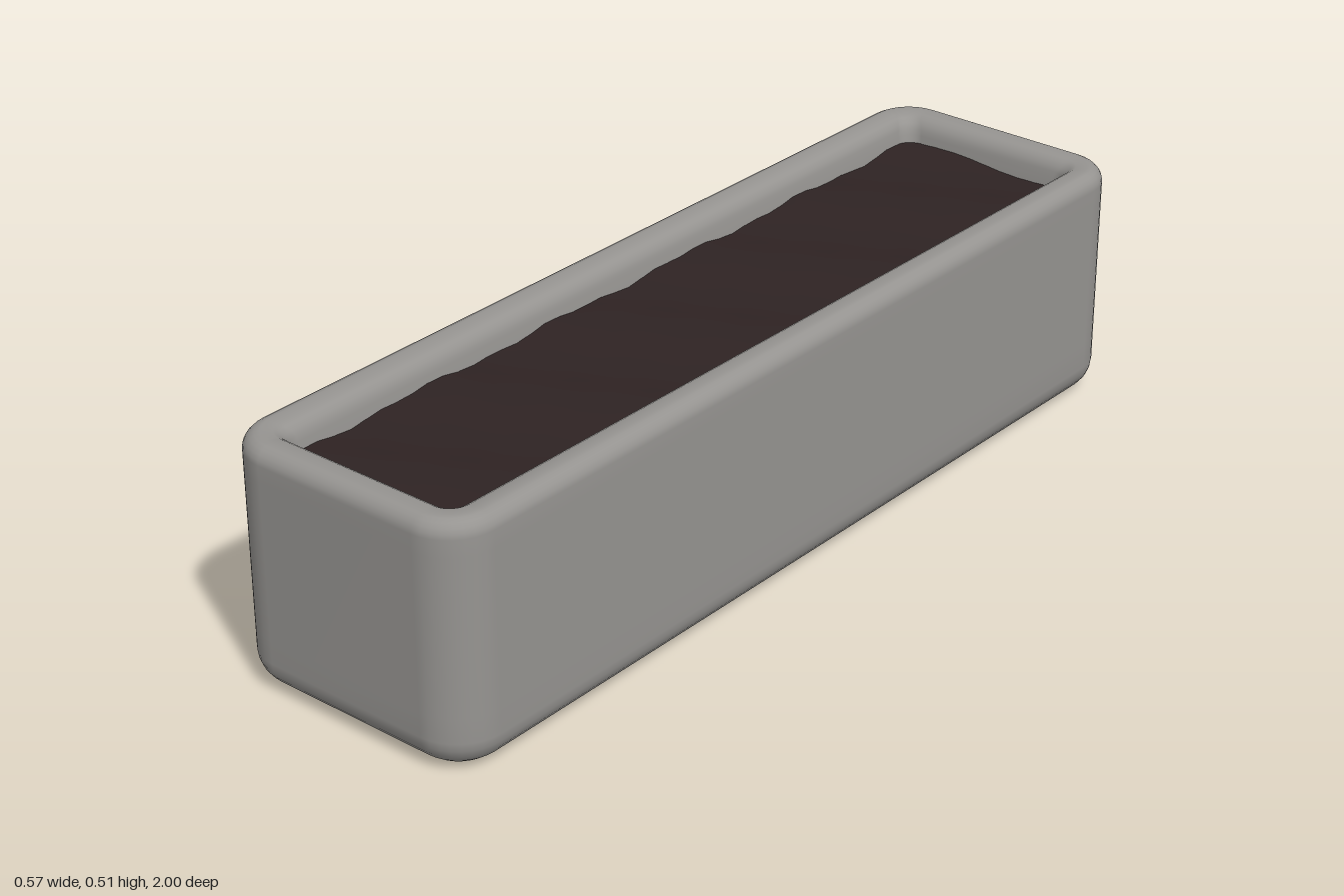
import * as THREE from 'three';

const HALF_W = 0.284, HALF_L = 1, CORNER = 0.1, STEPS = 8;

// Rounded rectangle outline, inset from the outer wall, at height y
function ring(inset, y) {
  const w = HALF_W - inset, l = HALF_L - inset;
  const r = Math.min(Math.max(CORNER - inset, 0.035), w);
  const points = [];
  [[1, 1], [-1, 1], [-1, -1], [1, -1]].forEach(([sx, sz], q) => {
    for (let i = 0; i <= STEPS; i++) {
      const a = (q + i / STEPS) * Math.PI / 2;
      points.push([sx * (w - r) + r * Math.cos(a), y, sz * (l - r) + r * Math.sin(a)]);
    }
  });
  return points;
}

// Skin a list of [inset, y] steps into one smooth surface
function loft(profile) {
  const rings = profile.map(([inset, y]) => ring(inset, y));
  const n = rings[0].length, index = [];
  for (let k = 0; k < rings.length - 1; k++) {
    for (let i = 0; i < n; i++) {
      const a = k * n + i, b = k * n + (i + 1) % n;
      index.push(a, a + n, b, b, a + n, b + n);
    }
  }
  const geometry = new THREE.BufferGeometry();
  geometry.setAttribute('position', new THREE.Float32BufferAttribute(rings.flat(2), 3));
  geometry.setIndex(index);
  geometry.computeVertexNormals();
  return geometry;
}

export function createModel() {
  const stone = new THREE.MeshStandardMaterial({ color: 0x969491 });
  stone.name = 'grey stone';
  const earth = new THREE.MeshStandardMaterial({ color: 0x2e2323 });
  earth.name = 'dark earth';

  // Trough: underside, rounded foot, wall, rounded rim, inner wall
  const profile = [[HALF_W, 0], [0.08, 0]];
  for (let i = 0; i <= 6; i++) {
    const a = i / 6 * Math.PI / 2;
    profile.push([0.065 * (1 - Math.sin(a)), 0.004 + 0.065 * (1 - Math.cos(a))]);
  }
  profile.push([0, 0.12], [0, 0.44]);
  for (let i = 0; i <= 5; i++) {
    const a = i / 5 * Math.PI / 2;
    profile.push([0.032 * (1 - Math.cos(a)), 0.475 + 0.032 * Math.sin(a)]);
  }
  for (let i = 1; i <= 5; i++) {
    const a = i / 5 * Math.PI / 2;
    profile.push([0.045 + 0.035 * Math.sin(a), 0.467 + 0.04 * Math.cos(a)]);
  }
  profile.push([0.085, 0.44], [0.088, 0.4]);
  const trough = new THREE.Mesh(loft(profile), stone);
  trough.name = 'trough';

  // Soil: slightly uneven bed whose edges run into the inner wall
  const bed = new THREE.PlaneGeometry(0.41, 1.84, 10, 46).rotateX(-Math.PI / 2);
  const p = bed.attributes.position;
  for (let i = 0; i < p.count; i++) {
    const x = p.getX(i), z = p.getZ(i);
    p.setY(i, 0.449 + 0.004 * Math.sin(17 * z + 9 * x) + 0.003 * Math.sin(41 * z - 23 * x));
  }
  bed.computeVertexNormals();
  const soil = new THREE.Mesh(bed, earth);
  soil.name = 'soil';

  const planter = new THREE.Group();
  planter.name = 'planter';
  planter.add(trough, soil);
  return planter;
}
